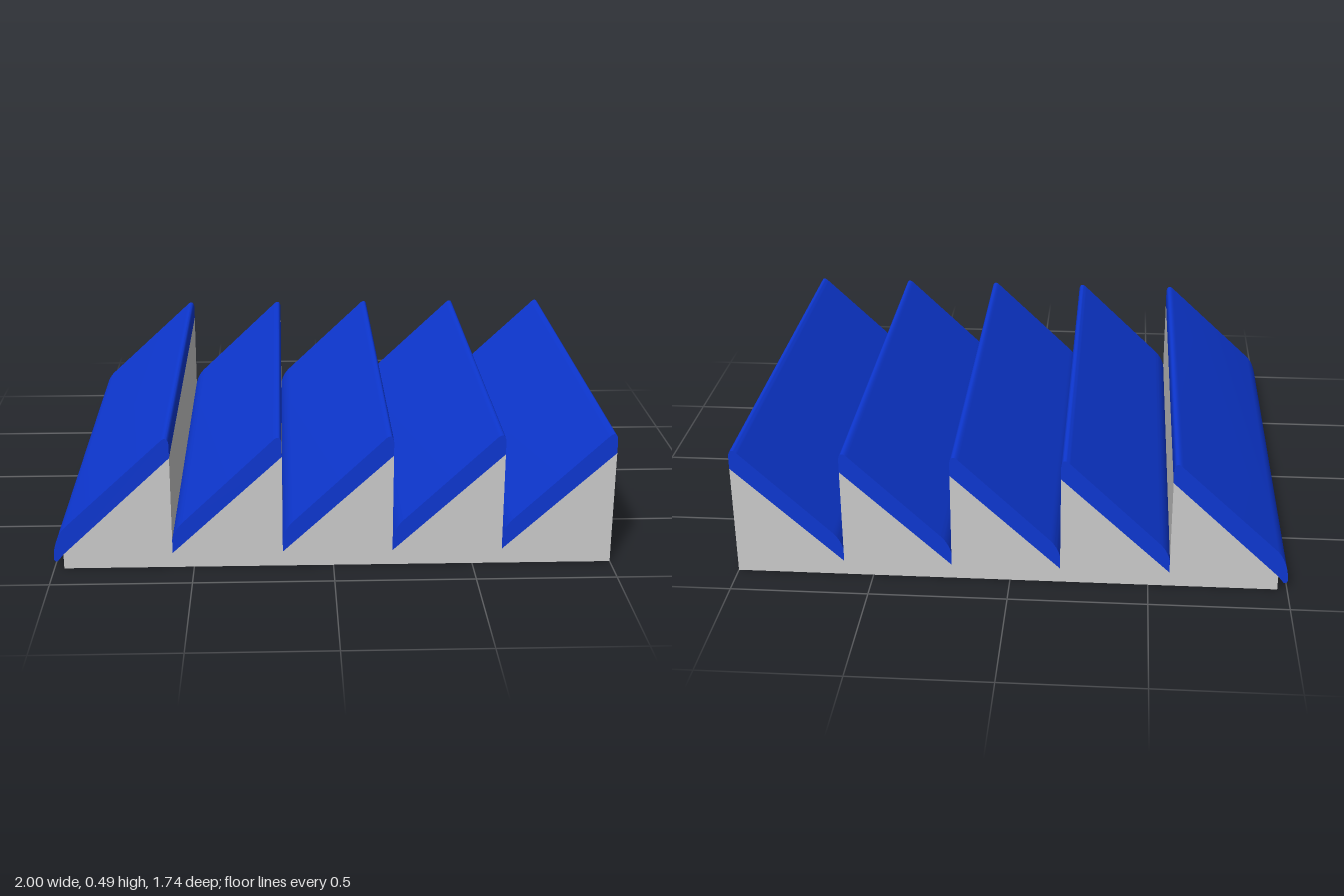
import * as THREE from 'three';
import { toCreasedNormals } from 'three/addons/utils/BufferGeometryUtils.js';

const DEPTH = 1.74, PITCH = 0.394, TEETH = 5;
const LOW = 0.055, HIGH = 0.42; // underside of each roof slope

export function createModel() {
  const group = new THREE.Group();
  const grey = new THREE.MeshStandardMaterial({ color: 0xcccccc });
  const blue = new THREE.MeshStandardMaterial({ color: 0x0d37d2 });

  // Extrude a front profile along the full depth, centred on z
  const add = (name, shape, material) => {
    const geo = new THREE.ExtrudeGeometry(shape, { depth: DEPTH, bevelEnabled: false, curveSegments: 10 });
    geo.translate(0, 0, -DEPTH / 2);
    const mesh = new THREE.Mesh(toCreasedNormals(geo, 0.5), material);
    mesh.name = name;
    group.add(mesh);
  };

  // Sawtooth building body
  const left = 1 - TEETH * PITCH + 0.005;
  const body = new THREE.Shape();
  body.moveTo(left, 0);
  body.lineTo(1, 0);
  for (let i = 0; i < TEETH; i++) {
    const x = 1 - i * PITCH;
    body.lineTo(x, HIGH);
    body.lineTo(i === TEETH - 1 ? left : x - PITCH, LOW);
  }
  body.closePath();
  add('sawtoothBody', body, grey);

  // Roof slabs with a rounded ridge and eave; the first one overhangs the wall
  for (let i = 0; i < TEETH; i++) {
    const x1 = 1 - (TEETH - 1 - i) * PITCH, x0 = x1 - PITCH;
    const roof = new THREE.Shape();
    roof.moveTo(x1, HIGH);
    roof.lineTo(x1, 0.465);
    roof.bezierCurveTo(x1, 0.49, x1 - 0.012, 0.503, x1 - 0.033, 0.48);
    if (i === 0) {
      roof.lineTo(-0.958, 0.157);
      roof.bezierCurveTo(-0.985, 0.13, -1, 0.08, -1, 0.04);
      roof.quadraticCurveTo(-0.998, 0.022, -0.985, 0.03);
      roof.lineTo(left, LOW);
    } else {
      roof.lineTo(x0 + 0.04, 0.174);
      roof.quadraticCurveTo(x0 + 0.01, 0.146, x0, 0.105);
      roof.lineTo(x0, LOW);
    }
    roof.closePath();
    add('roofSlope' + (i + 1), roof, blue);
  }
  return group;
}
